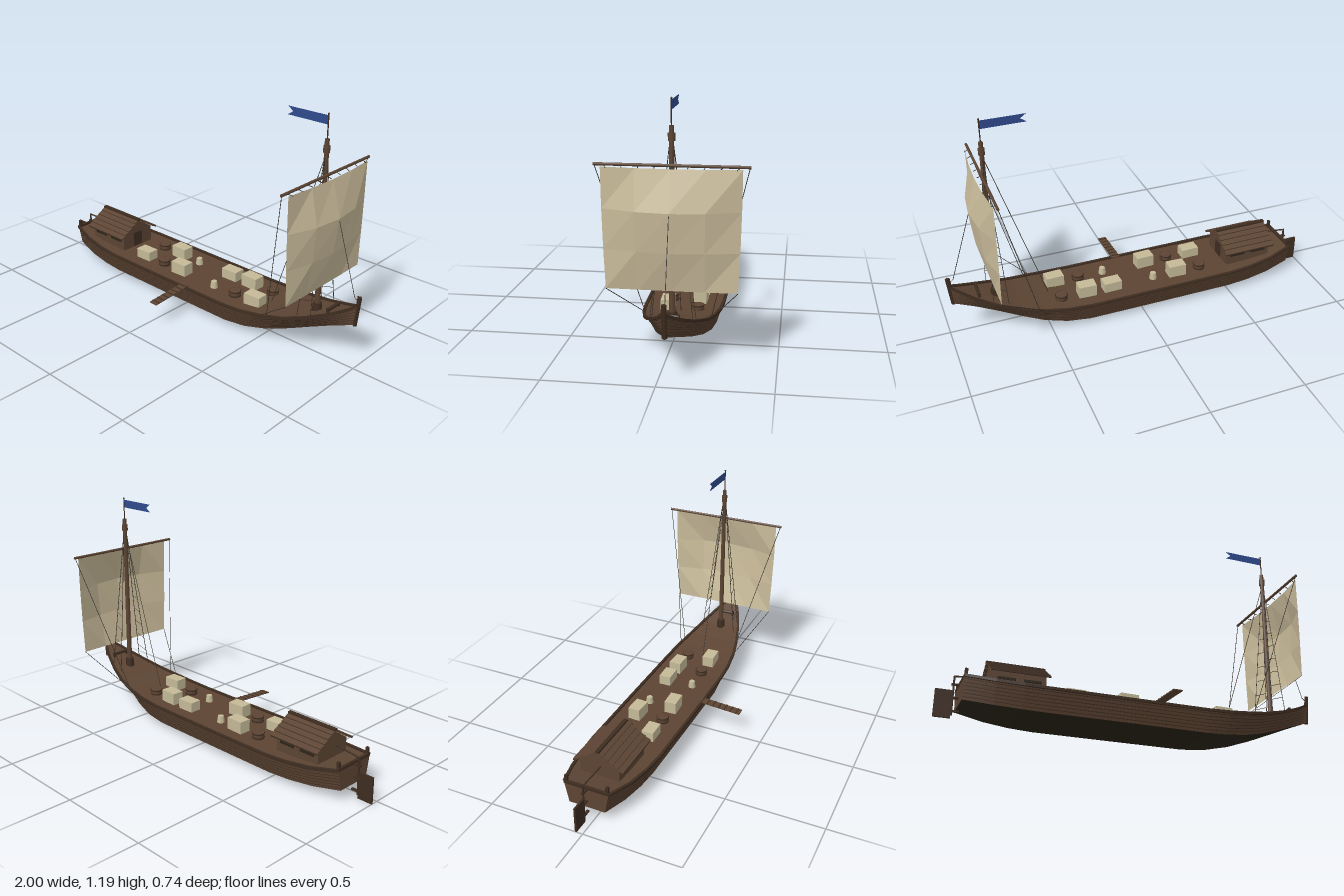
import * as THREE from 'three';

const mat = (name, color, side = THREE.FrontSide) => {
  const m = new THREE.MeshStandardMaterial({ color, side });
  m.name = name;
  return m;
};

export function createModel() {
  const wood = mat('brown wood', 0x5c4433);
  const dark = mat('dark wood', 0x3e2d21);
  const tar = mat('tarred wood', 0x2b251a);
  const canvas = mat('sail canvas', 0xc9bb9a, THREE.DoubleSide);
  const cloth = mat('cargo cloth', 0xc4ba98);
  const blue = mat('pennant blue', 0x2f4a8c, THREE.DoubleSide);
  const rope = mat('rope', 0x38322a);

  const model = new THREE.Group();
  model.name = 'cargoShip';
  const ship = new THREE.Group();
  ship.name = 'ship';
  ship.position.z = -0.036;
  model.add(ship);

  const V = (x, y, z) => new THREE.Vector3(x, y, z);
  const add = (name, geo, material, x = 0, y = 0, z = 0, parent = ship) => {
    const m = new THREE.Mesh(geo, material);
    m.name = name;
    m.position.set(x, y, z);
    parent.add(m);
    return m;
  };
  const box = (name, w, h, d, material, x, y, z, parent) =>
    add(name, new THREE.BoxGeometry(w, h, d), material, x, y, z, parent);
  const rod = (name, a, b, r, material, sides = 4, rTop = r) => {
    const m = add(name, new THREE.CylinderGeometry(rTop, r, a.distanceTo(b), sides), material);
    m.position.copy(a).lerp(b, 0.5);
    m.quaternion.setFromUnitVectors(V(0, 1, 0), b.clone().sub(a).normalize());
    return m;
  };
  // Faceted surface through rows of points
  const loft = (rows) => {
    const pos = rows.flat().flatMap((p) => [p.x, p.y, p.z]);
    const n = rows[0].length, idx = [];
    for (let i = 0; i < rows.length - 1; i++)
      for (let j = 0; j < n - 1; j++) {
        const a = i * n + j, b = a + n;
        idx.push(a, b, b + 1, a, b + 1, a + 1);
      }
    let g = new THREE.BufferGeometry();
    g.setAttribute('position', new THREE.Float32BufferAttribute(pos, 3));
    g.setIndex(idx);
    g = g.toNonIndexed();
    g.computeVertexNormals();
    return g;
  };

  // Hull stations: x, bottom y, bottom half width, top y, top half width
  const stations = [
    [-0.89, 0.062, 0.095, 0.175, 0.118], [-0.75, 0.044, 0.128, 0.155, 0.157],
    [-0.62, 0.034, 0.145, 0.145, 0.177], [-0.5, 0.03, 0.152, 0.141, 0.186],
    [-0.1, 0.03, 0.153, 0.14, 0.187], [0.3, 0.03, 0.152, 0.14, 0.186],
    [0.42, 0.038, 0.14, 0.146, 0.181], [0.54, 0.059, 0.112, 0.16, 0.167],
    [0.65, 0.091, 0.075, 0.18, 0.143], [0.76, 0.131, 0.042, 0.213, 0.11],
    [0.86, 0.169, 0.02, 0.252, 0.07], [0.93, 0.195, 0.011, 0.286, 0.033],
    [0.975, 0.212, 0.006, 0.312, 0.008],
  ];
  const sidePoint = ([x, by, bw, ty, tw], t, s) =>
    V(x, THREE.MathUtils.lerp(by, ty, t), s * THREE.MathUtils.lerp(bw, tw, t));
  add('hullBottom', loft(stations.map((s) => [sidePoint(s, 0, -1), sidePoint(s, 0, 1)])), tar);
  add('deck', loft(stations.map((s) => [sidePoint(s, 0.94, 1), sidePoint(s, 0.94, -1)])), wood);
  const s0 = stations[0];
  add('transom', loft([1, 0].map((t) => [sidePoint(s0, t, -1), sidePoint(s0, t, 1)])), wood);
  box('transomRail', 0.014, 0.014, 0.236, dark, -0.885, 0.173, 0);

  // Strakes with dark seams, and the gunwales
  const strakes = 7;
  for (const side of [-1, 1]) {
    const band = (t0, t1) => loft(stations.map((s) =>
      side > 0 ? [sidePoint(s, t0, 1), sidePoint(s, t1, 1)] : [sidePoint(s, t1, -1), sidePoint(s, t0, -1)]));
    for (let i = 0; i < strakes; i++) {
      add('strake', band(i / strakes, (i + 0.82) / strakes), wood);
      add('strakeSeam', band((i + 0.82) / strakes, (i + 1) / strakes), dark);
    }
    add('gunwale', loft(stations.map((s) => {
      const p = sidePoint(s, 1, side), w = Math.min(0.007, s[4] * 0.6);
      return [[0.003, -w], [-0.01, -w], [-0.01, w], [0.003, w], [0.003, -w]]
        .map(([dy, dz]) => V(p.x, p.y + dy, p.z + dz));
    })), dark);
  }
  rod('stemPost', V(0.968, 0.205, 0), V(0.985, 0.36, 0), 0.012, dark, 4);

  // Rudder, hinges and tiller
  box('rudderBlade', 0.08, 0.135, 0.01, dark, -0.96, 0.0675, 0);
  rod('rudderStock', V(-0.917, 0.015, 0), V(-0.917, 0.207, 0), 0.005, dark, 6);
  for (const y of [0.035, 0.1, 0.165]) box('rudderHinge', 0.045, 0.008, 0.014, dark, -0.905, y, 0);
  rod('tiller', V(-0.92, 0.205, 0), V(-0.77, 0.215, 0.012), 0.004, dark, 6);
  for (const s of [-1, 1]) box('sternPost', 0.014, 0.05, 0.014, dark, -0.882, 0.185, s * 0.108);

  // Cabin
  const cabin = new THREE.Group();
  cabin.name = 'cabin';
  cabin.position.set(-0.632, 0, 0);
  ship.add(cabin);
  const gable = new THREE.Shape([[-0.105, 0.13], [0.105, 0.13], [0.105, 0.222], [0, 0.288], [-0.105, 0.222]]
    .map(([x, y]) => new THREE.Vector2(x, y)));
  const walls = new THREE.ExtrudeGeometry(gable, { depth: 0.255, bevelEnabled: false });
  walls.rotateY(Math.PI / 2);
  add('cabinWalls', walls, wood, -0.1275, 0, 0, cabin);
  const rows = 5, slope = Math.atan2(0.08, 0.13);
  for (const s of [-1, 1]) {
    for (let i = 0; i < rows; i++) {
      const t = (i + 0.5) / rows;
      const r = box('roofBoard', 0.288, 0.007, 0.035, wood, 0, 0.216 + 0.08 * t, s * 0.13 * (1 - t), cabin);
      r.rotation.x = s * (slope - 0.16);
      box('roofSeam', 0.287, 0.006, 0.005, dark, 0, 0.2145 + 0.08 * i / rows, s * (0.13 * (1 - i / rows) + 0.001), cabin);
    }
    for (const x of [-0.062, 0.062]) box('cabinWindow', 0.085, 0.012, 0.006, tar, x, 0.188, s * 0.106, cabin);
  }
  box('roofRidge', 0.29, 0.01, 0.02, dark, 0, 0.298, 0, cabin);
  box('cabinDoor', 0.006, 0.08, 0.06, dark, 0.128, 0.18, 0, cabin);

  // Cargo in two rows: x, z, height, turn
  const bales = [[-0.352, 0.069, 0.051, 0.02], [-0.215, -0.073, 0.064, -0.04], [-0.083, 0.069, 0.064, 0.05],
    [0.155, -0.073, 0.053, 0.03], [0.293, -0.073, 0.064, -0.03], [0.428, 0.069, 0.062, 0.04]];
  for (const [x, z, h, turn] of bales)
    box('bale', 0.095, h, 0.064, cloth, x, 0.134 + h / 2, z).rotation.y = turn;
  for (const [x, z] of [[-0.352, -0.073], [-0.215, 0.069], [0.295, 0.069], [0.43, -0.073]]) {
    add('tub', new THREE.CylinderGeometry(0.03, 0.03, 0.034, 10), wood, x, 0.15, z);
    for (const y of [0.142, 0.163])
      add('tubHoop', new THREE.CylinderGeometry(0.033, 0.033, 0.006, 10), dark, x, y, z);
  }
  for (const [x, z] of [[-0.083, -0.071], [0.155, 0.073]])
    add('sack', new THREE.CylinderGeometry(0.016, 0.021, 0.036, 7), cloth, x, 0.151, z);

  // Gangplank over the side
  const plank = box('gangplank', 0.046, 0.005, 0.235, wood, 0.04, 0.136, 0.288);
  plank.rotation.x = 0.07;
  for (let i = 0; i < 7; i++) box('gangplankCleat', 0.046, 0.003, 0.006, dark, 0, 0.003, -0.1 + i * 0.033, plank);

  // Mast, masthead and flagpole
  const mx = 0.755;
  rod('mast', V(mx, 0.19, 0), V(mx, 1.07, 0), 0.014, wood, 8, 0.011);
  add('mastStep', new THREE.CylinderGeometry(0.022, 0.026, 0.05, 8), dark, mx, 0.222, 0);
  add('masthead', new THREE.CylinderGeometry(0.016, 0.016, 0.034, 8), wood, mx, 1.022, 0);
  rod('flagpole', V(mx, 1.07, 0), V(mx, 1.185, 0), 0.003, dark, 6);
  add('flagpoleBall', new THREE.SphereGeometry(0.005, 6, 4), dark, mx, 1.185, 0);
  const pennant = new THREE.Shape([[0, 1.135], [0, 1.178], [-0.22, 1.178], [-0.19, 1.157], [-0.22, 1.136]]
    .map(([x, y]) => new THREE.Vector2(x, y)));
  add('pennant', new THREE.ShapeGeometry(pennant), blue, mx - 0.003, 0, 0);

  // Yard and bellied sail
  rod('yard', V(0.768, 0.901, -0.338), V(0.768, 0.901, 0.338), 0.007, wood, 8);
  const belly = [[0.892, 0.02, 0.305], [0.71, 0.066, 0.303], [0.53, 0.045, 0.298], [0.35, 0.002, 0.29]];
  const sail = belly.map(([y, b, w]) =>
    [-1, -0.5, 0, 0.5, 1].map((u) => V(0.782 + b * (1 - u * u), y, u * w)));
  add('sail', loft(sail), canvas);
  for (let i = -4; i <= 4; i++)
    rod('sailTie', V(0.764, 0.896, i * 0.073), V(0.79, 0.889, i * 0.07), 0.002, rope);

  // Standing and running rigging
  const line = (a, b, r = 0.0017) => rod('rope', a, b, r, rope, 4);
  line(V(mx, 1.0, 0), V(0.48, 0.145, 0));
  line(V(0.848, 0.7, 0), V(0.957, 0.35, 0));
  line(V(0.957, 0.35, 0), V(0.98, 0.33, 0));
  for (const s of [-1, 1]) {
    line(V(0.768, 0.9, s * 0.334), V(0.57, 0.165, s * 0.155));
    line(V(0.782, 0.35, s * 0.29), V(0.54, 0.16, s * 0.168));
    const head = V(mx, 1.0, s * 0.008), feet = [V(0.71, 0.2, s * 0.1), V(0.785, 0.225, s * 0.095)];
    for (const f of feet) line(head, f);
    for (let i = 1; i < 9; i++)
      line(feet[0].clone().lerp(head, i / 10), feet[1].clone().lerp(head, i / 10), 0.0013);
  }

  // Windlass on the foredeck
  rod('windlass', V(0.845, 0.256, -0.045), V(0.845, 0.256, 0.045), 0.009, dark, 8);
  for (const s of [-1, 1]) box('windlassPost', 0.014, 0.035, 0.01, dark, 0.845, 0.248, s * 0.042);

  return model;
}
